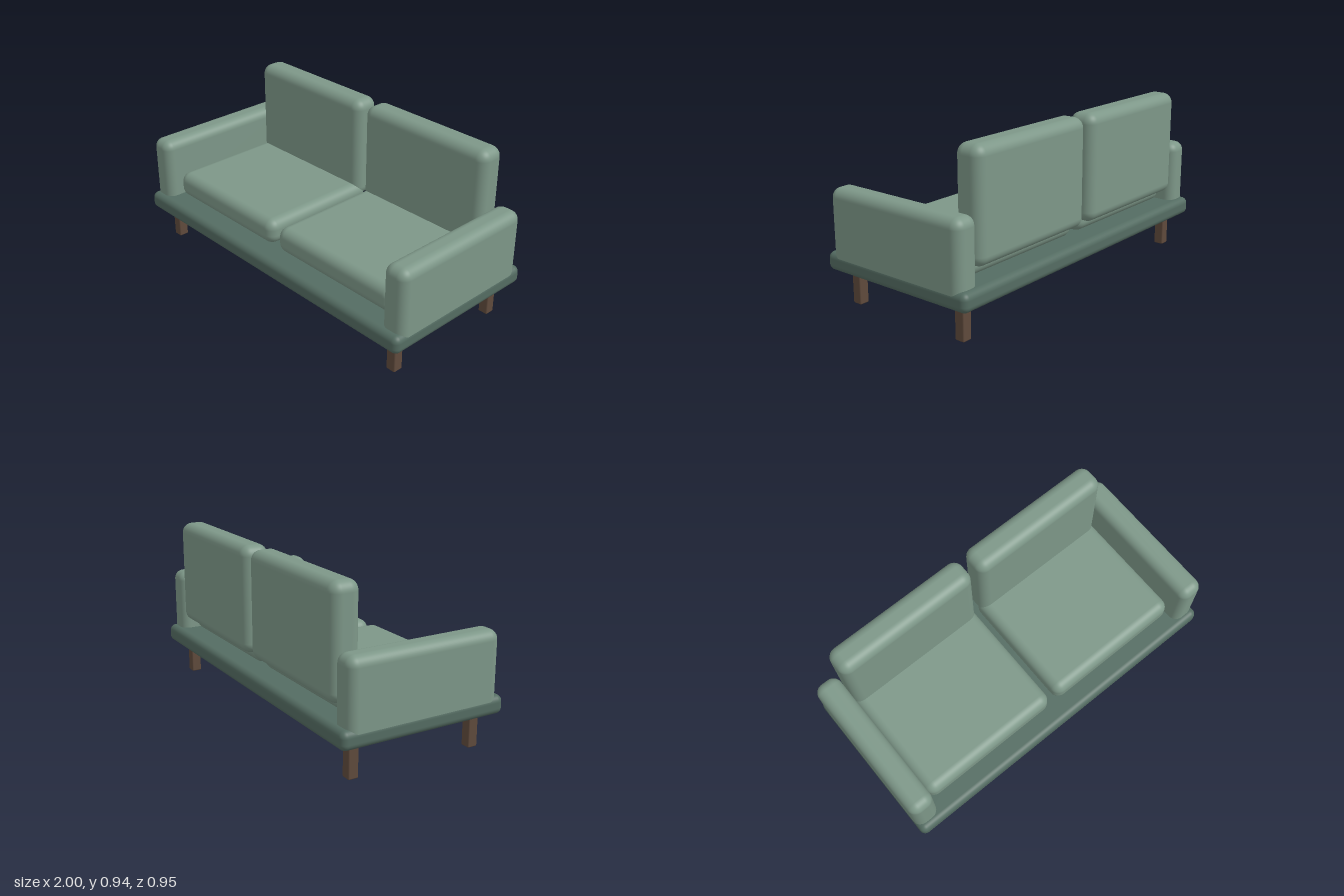
import * as THREE from 'three';
import { RoundedBoxGeometry } from 'three/addons/geometries/RoundedBoxGeometry.js';

function material(name, color) {
  const m = new THREE.MeshStandardMaterial({ color });
  m.name = name;
  return m;
}

export function createModel() {
  const sofa = new THREE.Group();
  sofa.name = 'sofa';
  const fabric = material('sageFabric', 0x7d9788);
  const frame = material('darkGreenFrame', 0x546c62);
  const wood = material('brownWood', 0x5f4a3c);

  // Rounded block given by its lower and upper limits
  function block(name, mat, [x0, x1], [y0, y1], [z0, z1], radius, segments = 6) {
    const geometry = new RoundedBoxGeometry(x1 - x0, y1 - y0, z1 - z0, segments, radius);
    const mesh = new THREE.Mesh(geometry, mat);
    mesh.name = name;
    mesh.position.set((x0 + x1) / 2, (y0 + y1) / 2, (z0 + z1) / 2);
    sofa.add(mesh);
  }

  // Platform
  block('base', frame, [-1, 1], [0.185, 0.285], [-0.473, 0.473], 0.035);

  for (const [side, s] of [['left', 1], ['right', -1]]) {
    const span = (a, b) => (s > 0 ? [a, b] : [-b, -a]);

    // Upholstery
    block(side + 'Arm', fabric, span(0.855, 0.998), [0.21, 0.628], [-0.435, 0.435], 0.052);
    block(side + 'SeatCushion', fabric, span(0.02, 0.853), [0.285, 0.43], [-0.36, 0.365], 0.055);
    block(side + 'BackCushion', fabric, span(0.02, 0.853), [0.35, 0.938], [-0.435, -0.275], 0.056);

    // Legs
    block(side + 'FrontLeg', wood, span(0.86, 0.916), [0, 0.195], [0.328, 0.384], 0.007, 2);
    block(side + 'BackLeg', wood, span(0.86, 0.916), [0, 0.195], [-0.384, -0.328], 0.007, 2);
  }
  return sofa;
}
